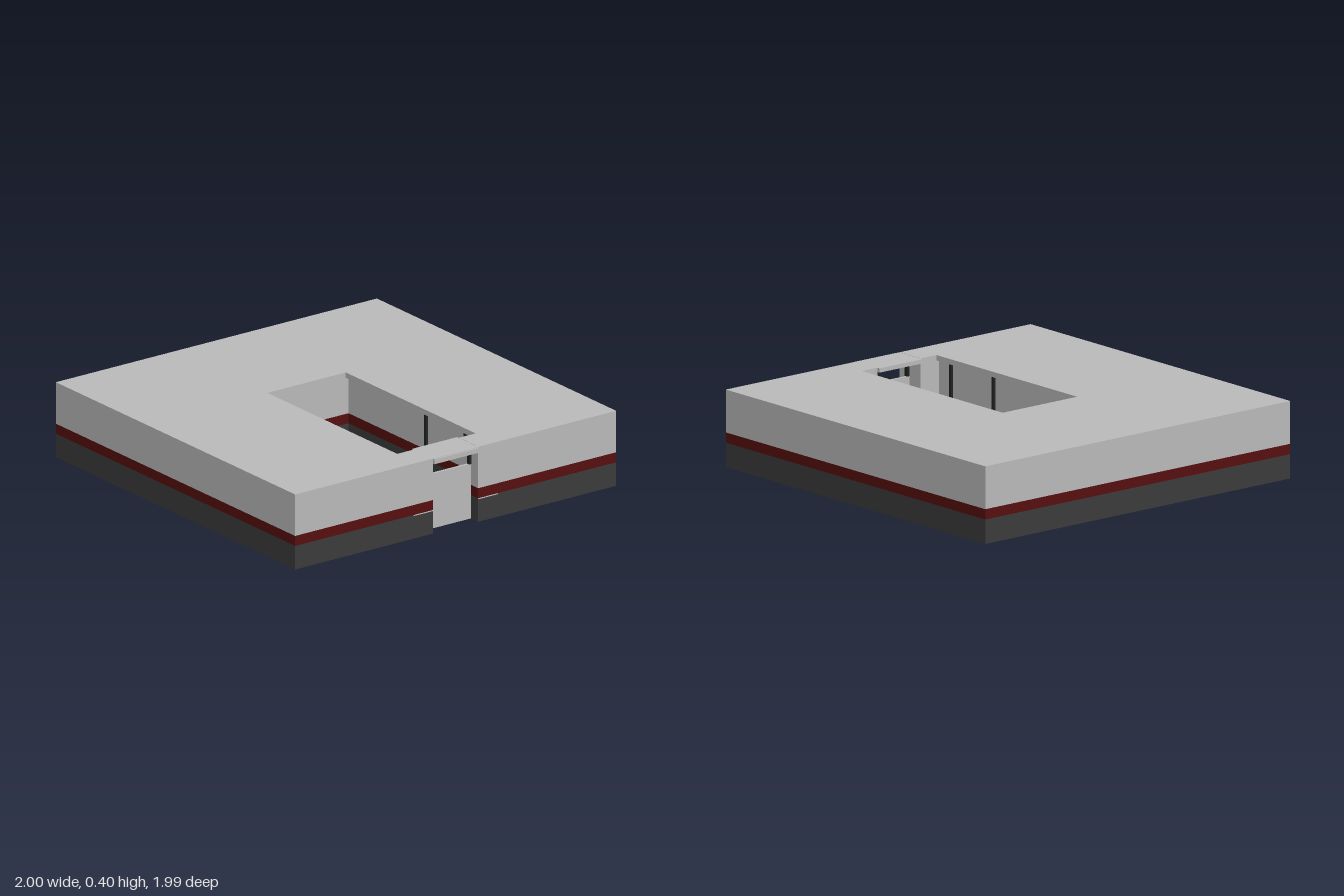
import * as THREE from 'three';

const mat = (name, color) => {
  const m = new THREE.MeshStandardMaterial({ color });
  m.name = name;
  return m;
};

export function createModel() {
  const grey = mat('concrete grey', 0xb8b8b8);
  const red = mat('dark red', 0x560f0f);
  const dark = mat('charcoal', 0x3a3a3a);
  const black = mat('near black', 0x202222);
  const model = new THREE.Group();
  model.name = 'courtyardSlab';

  const L = -1, R = 0.99, Z = 0.995; // outer plan
  const holeL = -0.25, holeR = 0.83, gate = 0.14;

  // Horizontal layer: a square plan with a court opening to the right through the gateway
  const layer = (name, y0, y1, holeZ, material) => {
    const shape = new THREE.Shape([
      [L, -Z], [R, -Z], [R, -gate], [holeR, -gate], [holeR, -holeZ], [holeL, -holeZ],
      [holeL, holeZ], [holeR, holeZ], [holeR, gate], [R, gate], [R, Z], [L, Z],
    ].map(([x, z]) => new THREE.Vector2(x, z)));
    const geo = new THREE.ExtrudeGeometry(shape, { depth: y1 - y0, bevelEnabled: false });
    geo.rotateX(-Math.PI / 2);
    geo.translate(0, y0, 0);
    const mesh = new THREE.Mesh(geo, material);
    mesh.name = name;
    model.add(mesh);
  };
  layer('base', 0, 0.125, 0.26, dark);
  layer('redBand', 0.125, 0.178, 0.26, red);
  layer('upperWall', 0.178, 0.37, 0.26, grey);
  layer('roofRim', 0.37, 0.398, 0.243, grey);

  // Box given by its limits on each axis
  const block = (name, [x0, x1], [y0, y1], [z0, z1], material) => {
    const mesh = new THREE.Mesh(new THREE.BoxGeometry(x1 - x0, y1 - y0, z1 - z0), material);
    mesh.position.set((x0 + x1) / 2, (y0 + y1) / 2, (z0 + z1) / 2);
    mesh.name = name;
    model.add(mesh);
  };

  // Gateway: recessed door, lintel and projecting hood edge
  block('gateDoor', [0.915, 0.93], [0, 0.29], [-gate, gate], grey);
  block('gateLintel', [0.815, 0.99], [0.375, 0.397], [-gate, gate], grey);
  block('gateHood', [0.985, 1], [0.37, 0.395], [-gate, gate], grey);

  for (const s of [-1, 1]) {
    const side = s < 0 ? 'right' : 'left';
    const span = (a, b) => (s > 0 ? [a, b] : [-b, -a]);
    // Posts beside the gate window
    block(side + 'GatePost', [0.915, 0.935], [0.29, 0.368], span(0.126, 0.14), black);
    // Slim posts along the long court walls
    for (const x of [0.405, 0.73]) {
      block(side + 'CourtPost', [x - 0.008, x + 0.008], [0.18, 0.37], span(0.247, 0.26), black);
    }
    // Fine pale strips beside the gate
    block(side + 'GateStrip', [0.988, 0.992], [0.12, 0.125], span(0.14, 0.26), grey);
  }
  return model;
}
